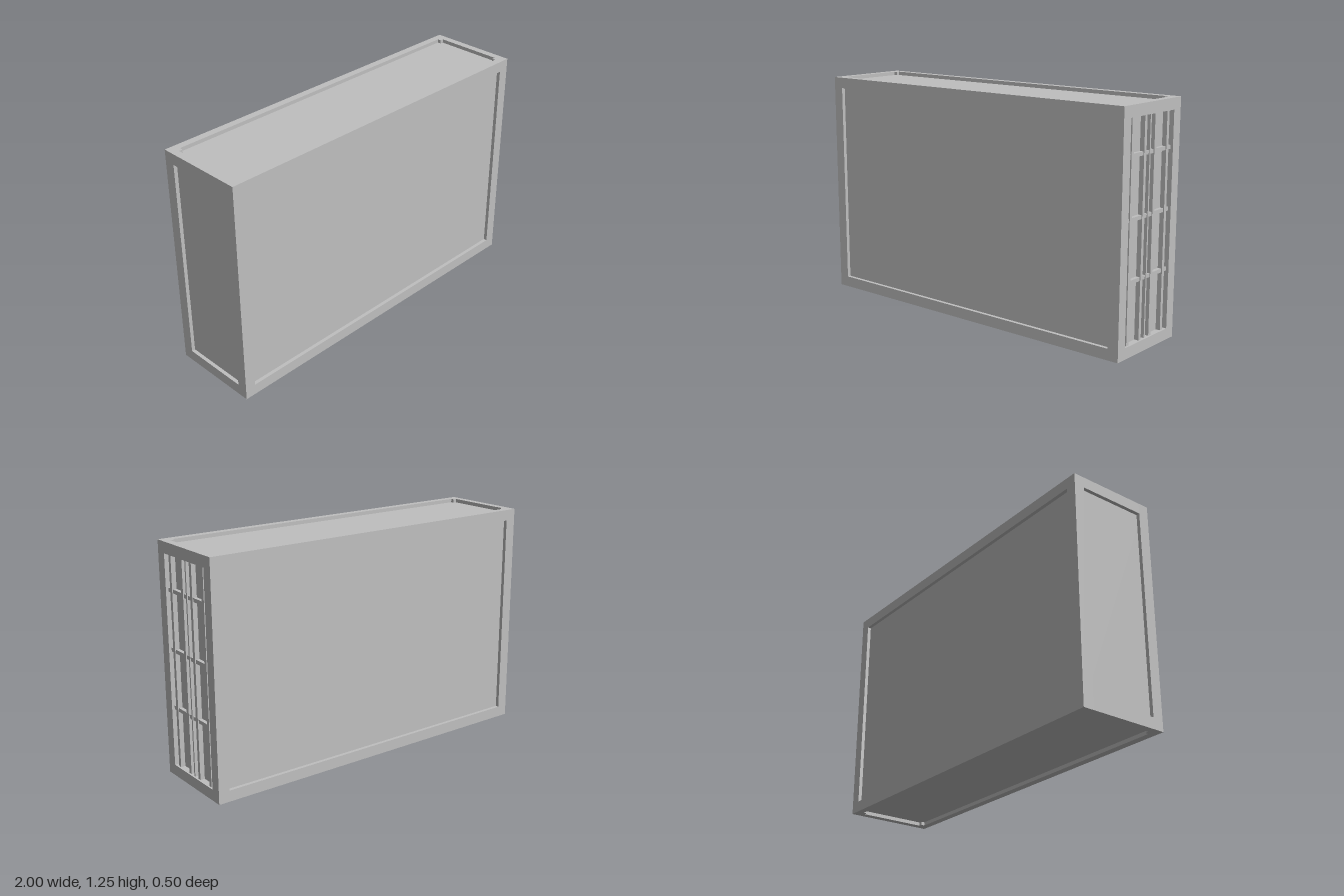
import * as THREE from 'three';

const W = 2, H = 1.25, D = 0.5;   // overall size
const POST = 0.06, RAIL = 0.04;   // frame section
const INSET = 0.02;               // panel recess

export function createModel() {
  const group = new THREE.Group();
  group.name = 'container';
  const grey = new THREE.MeshStandardMaterial({ color: 0xbfbfbf });
  grey.name = 'light grey';

  // Box given by its size and centre
  function box(name, w, h, d, x, y, z) {
    const mesh = new THREE.Mesh(new THREE.BoxGeometry(w, h, d), grey);
    mesh.name = name;
    mesh.position.set(x, y, z);
    group.add(mesh);
  }

  // Recessed body; the door end sits a little deeper
  const doorX = 0.965, backX = -W / 2 + INSET;
  box('body', doorX - backX, H - 2 * INSET, D - 2 * INSET, (doorX + backX) / 2, H / 2, 0);

  // Corner posts
  for (const sx of [-1, 1]) for (const sz of [-1, 1])
    box('cornerPost', POST, H, POST, sx * (W - POST) / 2, H / 2, sz * (D - POST) / 2);

  // Top and bottom rails between the posts
  for (const y of [POST / 2, H - POST / 2]) for (const s of [-1, 1]) {
    box('longRail', W - 2 * POST, POST, RAIL, 0, y, s * (D - RAIL) / 2);
    box('endRail', RAIL, POST, D - 2 * POST, s * (W - RAIL) / 2, y, 0);
  }

  // Upright locking bars and the centre seam strip on the doors
  const openH = H - 2 * POST;
  for (const z of [-0.154, -0.045, 0.045, 0.154])
    box('lockingBar', 0.025, openH, 0.02, doorX + 0.0125, H / 2, z);
  box('doorSeam', 0.025, openH, 0.01, doorX + 0.0125, H / 2, 0.002);

  // Horizontal brackets across the doors
  for (const y of [0.377, 0.69, 1.003])
    box('doorBracket', 0.02, 0.02, D - 2 * POST, doorX + 0.01, y, 0);

  return group;
}
